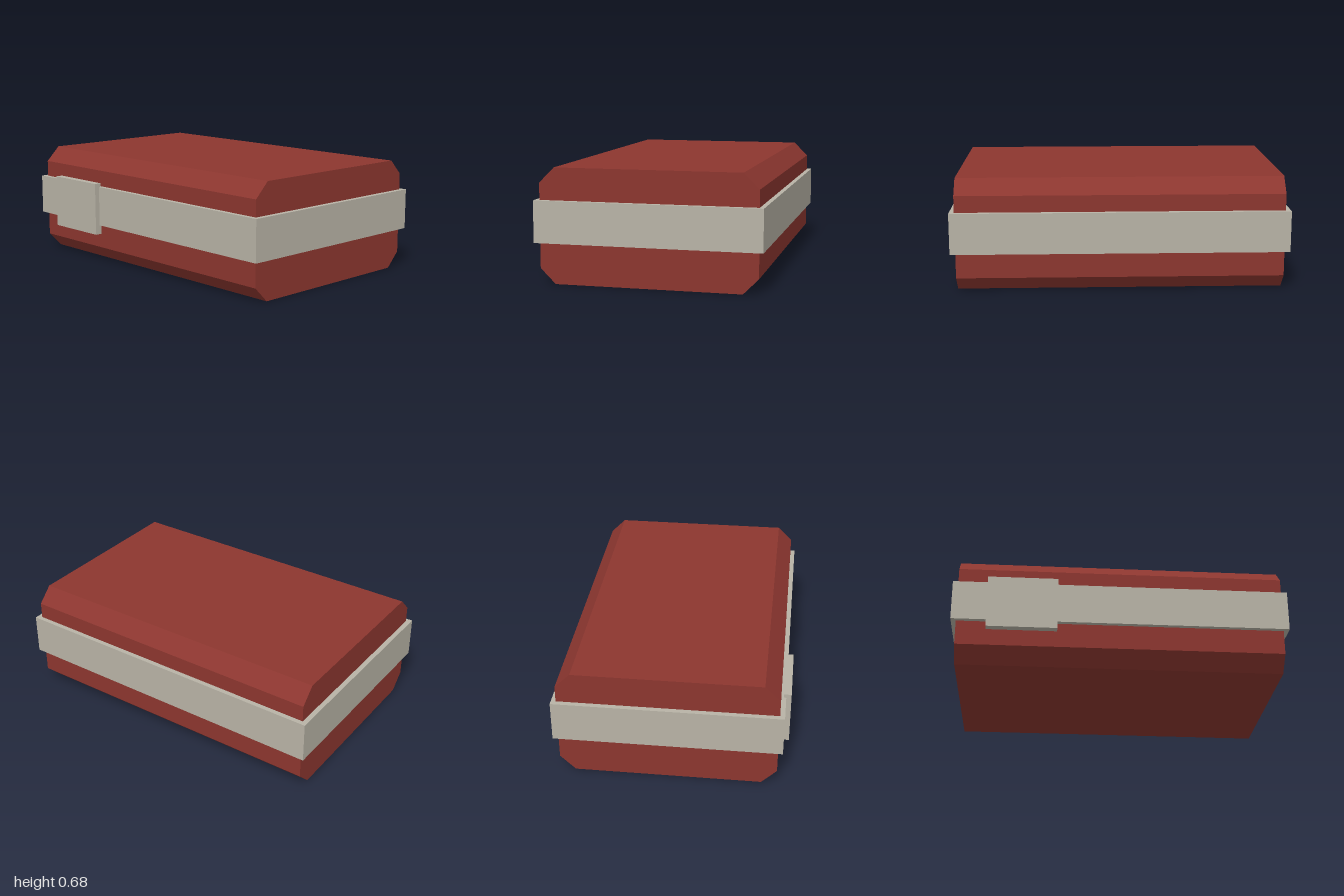
import * as THREE from 'three';

export function createModel() {
  const model = new THREE.Group();
  const red = new THREE.MeshStandardMaterial({ name: 'dark red', color: 0x8c362f });
  const grey = new THREE.MeshStandardMaterial({ name: 'warm grey', color: 0xb8b3a6 });

  const add = (name, geometry, material, x, y, z) => {
    const mesh = new THREE.Mesh(geometry, material);
    mesh.name = name;
    mesh.position.set(x, y, z);
    model.add(mesh);
  };

  // Case body: chamfered side profile extruded along the width
  const w = 0.97, h = 0.675, d = 0.637, c = 0.09;
  const profile = new THREE.Shape([
    [-d + c, 0], [d - c, 0], [d, c], [d, h - c],
    [d - c, h], [-d + c, h], [-d, h - c], [-d, c],
  ].map(([z, y]) => new THREE.Vector2(z, y)));
  const body = new THREE.ExtrudeGeometry(profile, { depth: 2 * w, bevelEnabled: false });
  body.translate(0, 0, -w).rotateY(Math.PI / 2);
  add('caseBody', body, red, 0, 0, -0.015);

  // Band around the middle
  add('band', new THREE.BoxGeometry(2, 0.246, 1.33), grey, 0, 0.363, -0.015);

  // Clasp plate on the front
  add('clasp', new THREE.BoxGeometry(0.415, 0.325, 0.044), grey, -0.585, 0.346, 0.658);

  return model;
}
